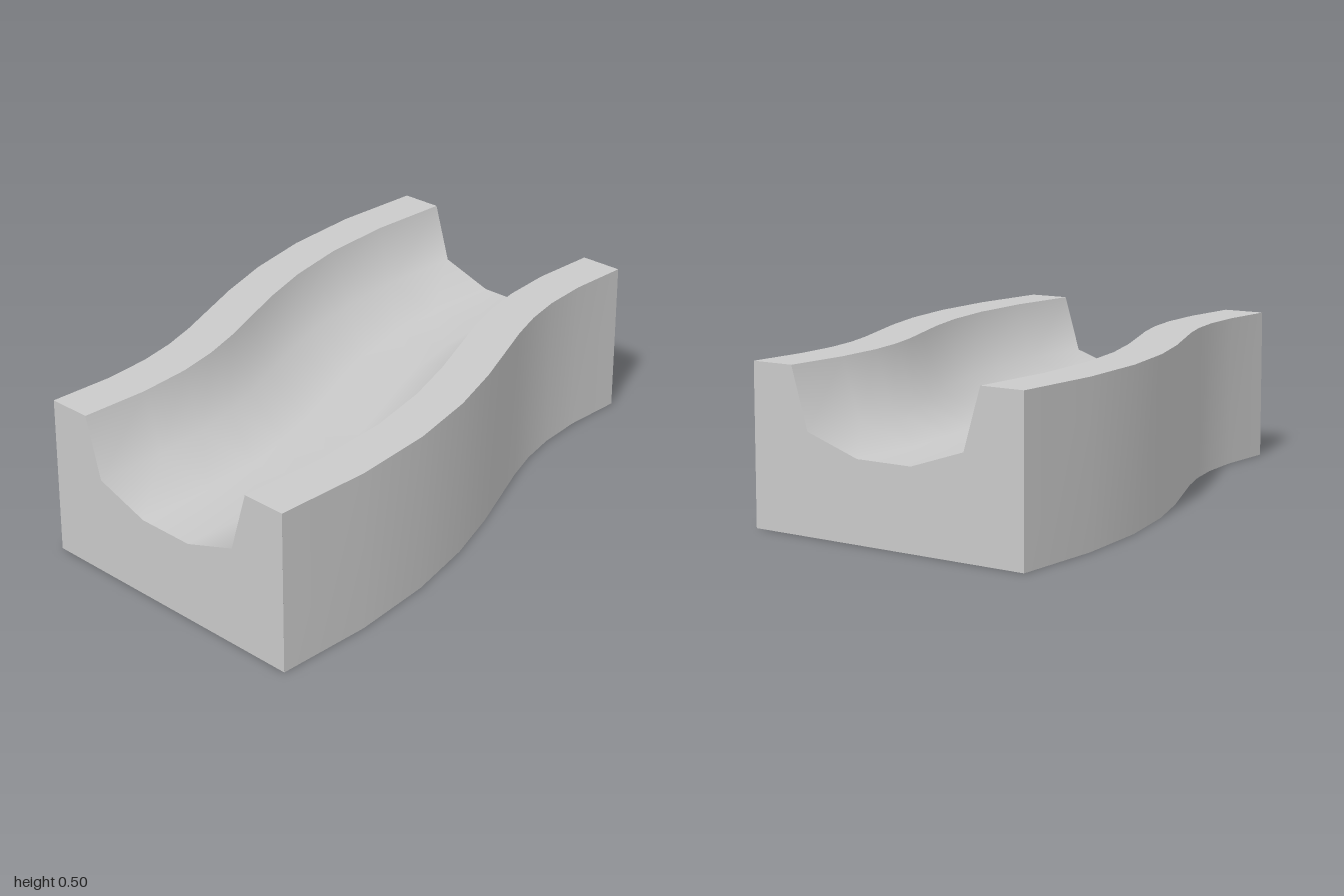
import * as THREE from 'three';

const SEGMENTS = 10;

// Half of the mirrored channel profile: [sideways offset, height]
const half = [[0.35, 0.5], [0.29, 0.31], [0.1, 0.25]];
const mirrored = half.map(([o, y]) => [-o, y]).reverse();
const channel = [...half, ...mirrored];

// S-shaped centre line in plan, as (x, z)
const path = new THREE.CubicBezierCurve(
  new THREE.Vector2(-0.25, -1), new THREE.Vector2(-0.25, 0),
  new THREE.Vector2(0.25, 0), new THREE.Vector2(0.25, 1));

// Sweeps an open run of profile points along the path, square to it
function sweep(points) {
  const n = points.length, positions = [], index = [];
  for (let i = 0; i <= SEGMENTS; i++) {
    const p = path.getPoint(i / SEGMENTS), t = path.getTangent(i / SEGMENTS);
    for (const [o, y] of points) positions.push(p.x + o * t.y, y, p.y - o * t.x);
  }
  for (let i = 0; i < SEGMENTS; i++) {
    for (let j = 0; j < n - 1; j++) {
      const a = i * n + j, b = a + 1, c = a + n, d = c + 1;
      index.push(a, b, c, b, d, c);
    }
  }
  const g = new THREE.BufferGeometry();
  g.setAttribute('position', new THREE.Float32BufferAttribute(positions, 3));
  g.setIndex(index);
  g.computeVertexNormals();
  return g;
}

export function createModel() {
  const group = new THREE.Group();
  group.name = 'curvedChannelBlock';
  const material = new THREE.MeshStandardMaterial({ color: 0xcccccc });
  const add = (name, geometry) => {
    const mesh = new THREE.Mesh(geometry, material);
    mesh.name = name;
    group.add(mesh);
    return mesh;
  };

  // Swept faces, each smooth along the bend with sharp edges between them
  add('base', sweep([[-0.5, 0], [0.5, 0]]));
  add('leftSide', sweep([[0.5, 0], [0.5, 0.5]]));
  add('leftRim', sweep([[0.5, 0.5], [0.35, 0.5]]));
  add('channel', sweep(channel));
  add('rightRim', sweep([[-0.35, 0.5], [-0.5, 0.5]]));
  add('rightSide', sweep([[-0.5, 0.5], [-0.5, 0]]));

  // Flat ends
  const section = new THREE.Shape(
    [[-0.5, 0], [0.5, 0], [0.5, 0.5], ...channel, [-0.5, 0.5]]
      .map(([x, y]) => new THREE.Vector2(x, y)));
  const end = new THREE.ShapeGeometry(section);
  add('frontEnd', end).position.set(0.25, 0, 1);
  const back = add('backEnd', end);
  back.position.set(-0.25, 0, -1);
  back.rotation.y = Math.PI;

  return group;
}
